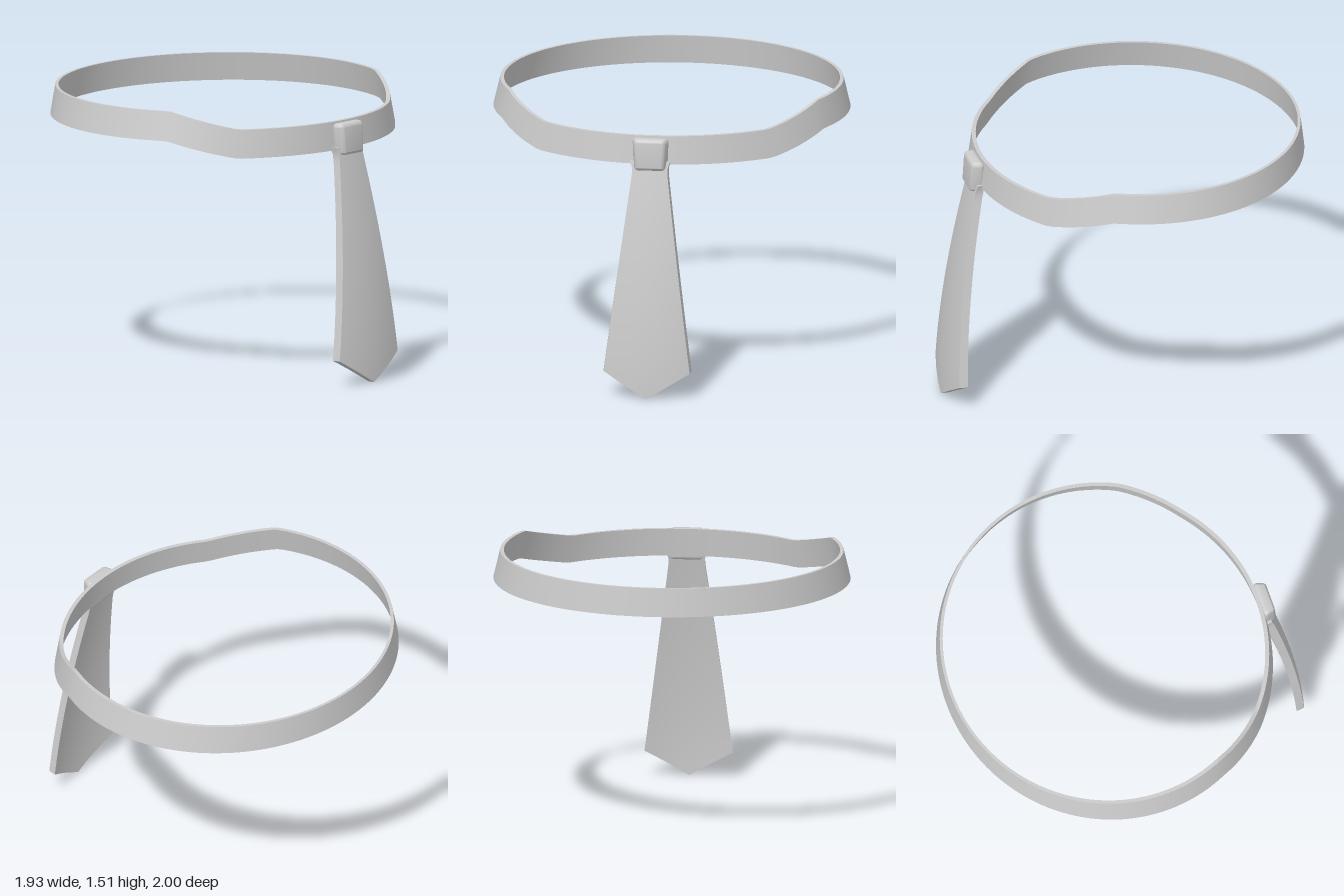
import * as THREE from 'three';
import { toCreasedNormals } from 'three/addons/utils/BufferGeometryUtils.js';
import { RoundedBoxGeometry } from 'three/addons/geometries/RoundedBoxGeometry.js';

const { lerp, clamp } = THREE.MathUtils;
const material = new THREE.MeshStandardMaterial({ color: 0xcccccc });

function part(name, geometry, crease = 0.7) {
  const mesh = new THREE.Mesh(toCreasedNormals(geometry, crease), material);
  mesh.name = name;
  return mesh;
}

// Moves every vertex of a geometry by a rule
function reshape(geometry, rule) {
  const p = geometry.attributes.position;
  for (let i = 0; i < p.count; i++) p.setXYZ(i, ...rule(p.getX(i), p.getY(i), p.getZ(i)));
  return geometry;
}

// Flared collar ring that dips towards the front
function collarGeometry() {
  const n = 144, positions = [], index = [];
  // [x radius, z radius, z centre, rear height, front height]
  const corners = [
    [0.965, 0.903, -0.097, 1.355, 1.262],
    [0.928, 0.885, -0.097, 1.51, 1.415],
    [0.908, 0.866, -0.1, 1.51, 1.415],
    [0.945, 0.884, -0.1, 1.355, 1.262],
  ];
  for (let i = 0; i < n; i++) {
    const a = (i / n) * Math.PI * 2;
    const dip = clamp((-0.1 + 0.89 * Math.cos(a) - 0.27) / 0.3, 0, 1);
    for (const [rx, rz, cz, rear, front] of corners)
      positions.push(rx * Math.sin(a), lerp(rear, front, dip), cz + rz * Math.cos(a));
    for (let k = 0; k < 4; k++) {
      const j = (i + 1) % n, m = (k + 1) % 4;
      const A = i * 4 + k, B = j * 4 + k, C = j * 4 + m, D = i * 4 + m;
      index.push(A, B, C, A, C, D);
    }
  }
  const g = new THREE.BufferGeometry();
  g.setAttribute('position', new THREE.Float32BufferAttribute(positions, 3));
  g.setIndex(index);
  return g;
}

// Widening blade with a pointed tip, bowed across and along its length
function bladeGeometry() {
  return reshape(new THREE.BoxGeometry(2, 1, 1, 16, 30, 1), (u, v, w) => {
    const t = v + 0.5;
    const y = lerp(0.14 * Math.abs(u), 1.28, t);
    const half = lerp(0.24, 0.09, t) + 0.02 * clamp((t - 0.96) / 0.04, 0, 1);
    const x = u * half * (w > 0 ? 0.975 : 1);
    const front = 0.83 + 0.17 * (1 - Math.pow(y / 1.28, 1.6));
    return [x, y, front - 0.6 * x * x - (w > 0 ? 0 : 0.043)];
  });
}

// Rounded knot, narrower in front and at the bottom, with its top leaning back
function knotGeometry() {
  return reshape(new RoundedBoxGeometry(0.2, 0.172, 0.078, 5, 0.022), (x, y, z) => {
    const f = z / 0.078 + 0.5, t = y / 0.172 + 0.5;
    return [x * lerp(1.03, 0.84, f) * lerp(0.93, 1, t), 1.322 + y, 0.823 + z - 0.012 * t * f];
  });
}

export function createModel() {
  const model = new THREE.Group();
  model.name = 'necktie';
  model.add(
    part('collarBand', collarGeometry()),
    part('tieBlade', bladeGeometry()),
    part('tieKnot', knotGeometry(), 1.0),
  );
  return model;
}
